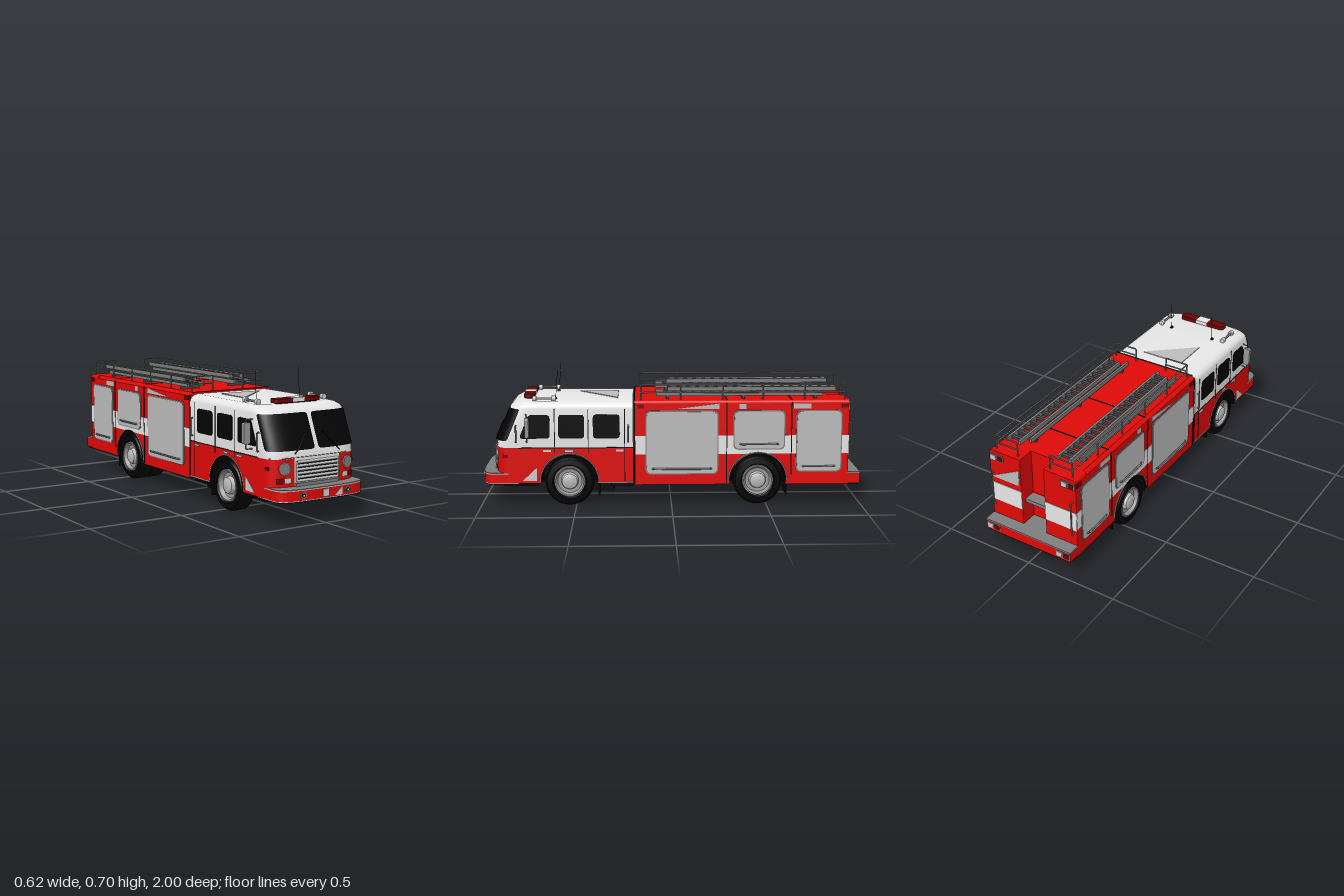
import * as THREE from 'three';
import { toCreasedNormals } from 'three/addons/utils/BufferGeometryUtils.js';

const paint = (name, color) => Object.assign(new THREE.MeshStandardMaterial({ color }), { name });
const RED = paint('red paint', 0xdf0a08), WHITE = paint('white paint', 0xe6e6e6);
const BLACK = paint('black rubber and glass', 0x040404), DOOR = paint('shutter grey', 0xbcbcbc);
const METAL = paint('metal grey', 0x7e7e7e), CHROME = paint('bright chrome', 0xcccccc);
const LAMP = paint('dark red lamp', 0x6c0304), STEEL = paint('wheel steel', 0x969696);
const IRON = paint('dark ladder grey', 0x4a4a4a);
const V = (x, y, z) => new THREE.Vector3(x, y, z);
const SIDES = [-1, 1];

// Cab skin: height, front z and half width; the plan is a squared-off curve
const CAB = [[0.12, 0.925, 0.26], [0.31, 0.925, 0.26], [0.35, 0.92, 0.26], [0.515, 0.85, 0.26],
  [0.53, 0.835, 0.255], [0.543, 0.81, 0.24], [0.55, 0.77, 0.215]];
function plan(phi, front, hw, depth = 0.12) {
  const s = Math.sin(phi), c = Math.cos(phi), r = (s ** 4 + c ** 4) ** -0.25;
  return [hw * s * r, front - depth + depth * c * r];
}
function skin(phi, y, off = 0) {
  let i = 0;
  while (i < CAB.length - 2 && y > CAB[i + 1][0]) i++;
  const [a, b] = [CAB[i], CAB[i + 1]], t = (y - a[0]) / (b[0] - a[0]);
  const [x, z] = plan(phi, a[1] + (b[1] - a[1]) * t + off, a[2] + (b[2] - a[2]) * t + off);
  return V(x, y, z);
}
const phiAt = (x) => Math.atan((x / 0.26) / (1 - (x / 0.26) ** 4) ** 0.25);

function surface(points, index) {
  const g = new THREE.BufferGeometry().setFromPoints(points);
  g.setIndex(index);
  g.computeVertexNormals();
  return g;
}
// Closed shell from stacked plan outlines
function shell(levels, back) {
  const n = 40, pts = [], idx = [];
  for (const [y, f, hw] of levels) {
    for (let i = 0; i <= n; i++) {
      const [x, z] = plan((i / n - 0.5) * Math.PI, f, hw);
      pts.push(V(x, y, z));
    }
    pts.push(V(hw, y, back), V(-hw, y, back));
  }
  const N = n + 3, last = (levels.length - 1) * N;
  for (let l = 0; l < last; l += N) for (let i = 0; i < N; i++) {
    const a = l + i, b = l + (i + 1) % N;
    idx.push(a, b, b + N, a, b + N, a + N);
  }
  pts.push(V(0, levels.at(-1)[0], 0.5));
  for (let i = 0; i < N; i++) idx.push(pts.length - 1, last + i, last + (i + 1) % N);
  return toCreasedNormals(surface(pts, idx), 0.6);
}
// Panel that follows the cab skin, with optional rounded corners
function patch(p0, p1, y0, y1, off, power = 0) {
  const n = 40, m = 8, pts = [], idx = [];
  for (let j = 0; j <= m; j++) for (let i = 0; i <= n; i++) {
    const u = Math.sin((i / n - 0.5) * Math.PI), h = power ? Math.max(0, 1 - Math.abs(u) ** power) ** (1 / power) : 1;
    pts.push(skin(p0 + (p1 - p0) * (u + 1) / 2, (y0 + y1) / 2 + (y1 - y0) * (j / m - 0.5) * h, off));
    if (i < n && j < m) {
      const a = j * (n + 1) + i;
      idx.push(a, a + 1, a + n + 2, a, a + n + 2, a + n + 1);
    }
  }
  return surface(pts, idx);
}
// Polygon with rounded corners
function poly(points, r = 0) {
  const s = new THREE.Shape(), p = points.map(([x, y]) => new THREE.Vector2(x, y));
  p.forEach((c, i) => {
    const a = p.at(i - 1), b = p[(i + 1) % p.length];
    const p1 = c.clone().add(a.clone().sub(c).setLength(r)), p2 = c.clone().add(b.clone().sub(c).setLength(r));
    i ? s.lineTo(p1.x, p1.y) : s.moveTo(p1.x, p1.y);
    if (r) s.quadraticCurveTo(c.x, c.y, p2.x, p2.y);
  });
  s.closePath();
  return s;
}
const rect = (a, b, c, d, r) => poly([[a, c], [b, c], [b, d], [a, d]], r);
const extrude = (s, depth) => new THREE.ExtrudeGeometry(s, { depth, bevelEnabled: false, curveSegments: 16 });

export function createModel() {
  const model = new THREE.Group();
  model.name = 'fireEngine';
  const add = (name, geo, mat, x = 0, y = 0, z = 0) => {
    const m = new THREE.Mesh(geo, mat);
    m.name = name;
    m.position.set(x, y, z);
    model.add(m);
    return m;
  };
  const box = (name, mat, x0, x1, y0, y1, z0, z1) => add(name, new THREE.BoxGeometry(x1 - x0, y1 - y0, z1 - z0),
    mat, (x0 + x1) / 2, (y0 + y1) / 2, (z0 + z1) / 2);
  const bar = (name, mat, pts, r = 0.004) => {
    for (let i = 1; i < pts.length; i++) add(name, new THREE.TubeGeometry(new THREE.LineCurve3(pts[i - 1], pts[i]), 1, r, 6), mat);
  };
  const disc = (name, mat, r, depth, x, y, z) => add(name, new THREE.CylinderGeometry(r, r, depth, 24).rotateX(Math.PI / 2), mat, x, y, z);
  // Thin plate on both flanks, drawn in (z, y)
  const flank = (name, shape, mat, x, t = 0.004) => SIDES.forEach((s) =>
    add(name, extrude(shape, t).rotateY(-Math.PI / 2).translate(t / 2, 0, 0), mat, s * x));

  // Lower flanks with open wheel arches; caps red, edges black
  const AXLES = [0.535, -0.455], AY = 0.128, AR = 0.147;
  const lower = (name, z0, z1, y0, y1, axle, hw) => {
    const s = new THREE.Shape(), a = Math.asin((AY - y0) / AR), w = AR * Math.cos(a);
    s.moveTo(z0, y0).lineTo(axle - w, y0);
    s.absarc(axle, AY, AR, Math.PI + a, -a, true);
    s.lineTo(z1, y0).lineTo(z1, y1).lineTo(z0, y1).closePath();
    add(name, extrude(s, 2 * hw).rotateY(-Math.PI / 2).translate(hw, 0, 0), [RED, BLACK]);
  };
  lower('cabLowerSides', 0.2, 0.72, 0.12, 0.31, AXLES[0], 0.26);
  lower('bodyLowerSides', -0.84, 0.195, 0.108, 0.3, AXLES[1], 0.255);

  // Cab
  add('cabNose', shell(CAB.slice(0, 2), 0.7), RED);
  add('cabUpper', shell(CAB.slice(1), 0.2), WHITE);
  for (const s of SIDES) {
    const a = 0.04, b = 1.14;
    add('windshield', patch(s < 0 ? -b : a, s < 0 ? -a : b, 0.347, 0.516, 0.003, 16), BLACK);
    bar('wiper', BLACK, [0.13, 0.1, 0.075, 0.05].map((x, i) => skin(phiAt(s * x), 0.332 + i * 0.03, 0.008)), 0.003);
  }
  const P = phiAt(0.133);
  add('noseCentrePanel', patch(-P, P, 0.18, 0.312, 0.003), WHITE);
  add('grilleBack', patch(-phiAt(0.12), phiAt(0.12), 0.2, 0.298, 0.006), BLACK);
  const across = (y, hw, off) => Array.from({ length: 9 }, (_, i) => skin(phiAt(hw * (i / 4 - 1)), y, off));
  for (let i = 0; i < 6; i++) bar('grilleSlat', CHROME, across(0.203 + i * 0.018, 0.119, 0.008), 0.0068);
  for (const s of SIDES) bar('grilleFrame', CHROME, [skin(phiAt(s * 0.12), 0.2, 0.008), skin(phiAt(s * 0.12), 0.296, 0.008)], 0.005);
  bar('noseTrim', METAL, across(0.313, 0.25, 0.001), 0.0025);

  // Headlights, indicators and fog lights
  for (const s of SIDES) {
    const hz = skin(phiAt(0.188), 0.26).z;
    const ring = add('headlightRing', new THREE.TorusGeometry(0.029, 0.003, 8, 28), CHROME, s * 0.188, 0.265, hz + 0.007);
    const lens = disc('headlight', METAL, 0.027, 0.02, s * 0.188, 0.265, hz);
    ring.rotation.y = lens.rotation.y = s * 0.16;
    const lamp = (n, m, x0, x1) => {
      const [a, b] = [phiAt(s * x0), phiAt(s * x1)].sort((p, q) => p - q);
      add(n, patch(a, b, 0.194, 0.221, 0.007, 12), m);
    };
    lamp('turnLamp', LAMP, 0.19, 0.224);
    lamp('whiteLamp', CHROME, 0.15, 0.186);
    disc('fogLightRing', METAL, 0.017, 0.012, s * 0.133, 0.145, 0.992);
    disc('fogLight', BLACK, 0.011, 0.014, s * 0.133, 0.145, 0.992);
    disc('fogLightBulb', CHROME, 0.005, 0.016, s * 0.133, 0.145, 0.992);
    box('sideMarker', LAMP, s * 0.25 - 0.008, s * 0.25 + 0.008, 0.257, 0.273, 0.84, 0.88);
  }

  // Front bumper
  const outline = [];
  for (let i = 0; i <= 40; i++) {
    const [x, z] = plan((i / 40 - 0.5) * Math.PI, 0.995, 0.258, 0.1);
    outline.push([x, -z]);
  }
  outline.push([0.258, -0.8], [-0.258, -0.8]);
  const slab = (n, y, h, mat) => add(n, extrude(poly(outline), h).rotateX(-Math.PI / 2), mat, 0, y);
  slab('bumperUnderside', 0.114, 0.004, BLACK);
  slab('bumperLowerTrim', 0.118, 0.003, CHROME);
  slab('bumper', 0.121, 0.047, RED);
  slab('bumperUpperTrim', 0.168, 0.003, CHROME);
  slab('bumperTread', 0.171, 0.005, METAL);
  box('bumperPlate', CHROME, -0.018, 0.018, 0.127, 0.163, 0.99, 1);
  add('bumperTriangle', extrude(poly([[0.053, 0.126], [0.098, 0.126], [0.098, 0.165]]), 0.006), CHROME, 0, 0, 0.993);
  box('bumperStep', METAL, -0.13, 0.13, 0.174, 0.192, 0.9, 0.935);

  // Cab side windows, seams and trim
  const glass = [[[0.635, 0.36], [0.795, 0.36], [0.745, 0.485], [0.635, 0.485]],
    ...[[0.455, 0.59], [0.27, 0.41]].map(([a, b]) => [[a, 0.36], [b, 0.36], [b, 0.485], [a, 0.485]])];
  for (const g of glass) flank('cabWindow', poly(g, 0.02), BLACK, 0.261);
  for (const z of [0.61, 0.435, 0.245]) flank('doorSeam', rect(z - 0.002, z + 0.002, z === 0.245 ? 0.13 : 0.28, 0.515), BLACK, 0.2595);
  flank('cabWaistline', rect(0.2, 0.8, 0.307, 0.312), BLACK, 0.2595);
  flank('cabSill', rect(0.2, 0.385, 0.12, 0.126), CHROME, 0.26);
  flank('cabTriangle', poly([[0.705, 0.135], [0.78, 0.135], [0.705, 0.205]]), CHROME, 0.26);
  for (const z of [0.65, 0.535, 0.27]) flank('doorHandle', rect(z - 0.02, z + 0.02, 0.29, 0.3), CHROME, 0.262, 0.008);
  for (const s of SIDES) for (const z of [0.81, 0.225])
    bar('cabGrabRail', METAL, [V(s * 0.258, 0.34, z), V(s * 0.272, 0.34, z), V(s * 0.272, 0.43, z), V(s * 0.258, 0.43, z)]);

  // Mirrors, roof lights, antennas
  for (const s of SIDES) {
    for (const y of [0.345, 0.488]) bar('mirrorArm', METAL, [V(s * 0.25, y, 0.76), V(s * 0.293, y, 0.75), V(s * 0.293, 0.42, 0.75)], 0.0035);
    add('mirror', extrude(rect(-0.019, 0.019, -0.052, 0.052, 0.012), 0.02), STEEL, s * 0.292, 0.421, 0.74);
    bar('spotLightStem', METAL, [V(s * 0.2, 0.562, 0.61), V(s * 0.2, 0.562, 0.72)], 0.006);
    for (const z of [0.615, 0.715]) {
      disc('spotLight', CHROME, 0.014, 0.02, s * 0.2, 0.562, z);
      box('spotLightFoot', METAL, s * 0.2 - 0.004, s * 0.2 + 0.004, 0.53, 0.56, z - 0.01, z + 0.01);
    }
    bar('antenna', BLACK, [V(s * 0.133, 0.545, 0.61), V(s * 0.133, 0.702, 0.597)], 0.0013);
    disc('antennaBase', BLACK, 0.007, 0.014, s * 0.133, 0.552, 0.61);
  }
  add('lightBar', extrude(rect(-0.137, 0.137, -0.777, -0.723, 0.02), 0.02).rotateX(-Math.PI / 2), LAMP, 0, 0.555);
  box('lightBarCentre', WHITE, -0.035, 0.035, 0.556, 0.577, 0.721, 0.779);
  box('lightBarBase', BLACK, -0.12, 0.12, 0.545, 0.556, 0.735, 0.765);
  add('roofTriangle', extrude(poly([[-0.12, -0.28], [0.12, -0.28], [-0.12, -0.49]]), 0.005).rotateX(-Math.PI / 2), DOOR, 0, 0.549);

  // Equipment body with rear recess
  const arched = (a, b, y0) => {
    const s = new THREE.Shape().moveTo(a, y0).lineTo(b, y0).lineTo(b, 0.54);
    s.quadraticCurveTo(b, 0.557, b - 0.02, 0.557);
    return s.lineTo(a + (a < 0 ? 0.02 : 0), 0.557).lineTo(a, a < 0 ? 0.54 : 0.557).closePath();
  };
  add('bodyUpper', extrude(arched(-0.255, 0.255, 0.3), 1.035), RED, 0, 0, -0.84);
  for (const s of SIDES) {
    const col = extrude(arched(0.07, 0.255, 0.108), 0.092);
    if (s < 0) col.rotateY(Math.PI).translate(0, 0, 0.092);
    add('rearColumn', col, RED, 0, 0, -0.932);
    box('rearStripe', WHITE, s * 0.1625 - 0.0925, s * 0.1625 + 0.0925, 0.262, 0.368, -0.935, -0.93);
    bar('rearGrabRail', METAL, [V(s * 0.235, 0.24, -0.93), V(s * 0.235, 0.24, -0.95), V(s * 0.235, 0.43, -0.95), V(s * 0.235, 0.43, -0.93)]);
    for (const [y, z] of [[0.52, -0.93], [0.14, -0.991]]) {
      box('rearLampFrame', METAL, s * 0.21 - 0.04, s * 0.21 + 0.04, y - 0.018, y + 0.018, z - 0.006, z);
      for (const [dx, m] of [[-0.019, LAMP], [0.019, CHROME]])
        box('rearLamp', m, s * 0.21 + dx - 0.015, s * 0.21 + dx + 0.015, y - 0.013, y + 0.013, z - 0.009, z);
    }
  }
  add('rearTriangle', extrude(poly([[0.25, 0.4], [0.08, 0.4], [0.08, 0.49]]), 0.004), DOOR, 0, 0, -0.935);
  box('recessBack', RED, -0.07, 0.07, 0.11, 0.31, -0.846, -0.83);
  box('recessLedge', METAL, -0.07, 0.07, 0.29, 0.31, -0.905, -0.84);
  box('rearStep', RED, -0.255, 0.255, 0.112, 0.165, -0.996, -0.93);
  box('rearStepTread', METAL, -0.256, 0.256, 0.165, 0.172, -0.998, -0.932);
  box('recessFloor', METAL, -0.07, 0.07, 0.112, 0.172, -0.94, -0.84);

  // Body stripe, shutters and seams
  flank('bodyStripe', rect(-0.932, 0.19, 0.272, 0.37), WHITE, 0.2555);
  const shutters = [[-0.24, 0.13, 0.17], [-0.59, -0.33, 0.3], [-0.89, -0.66, 0.18]];
  for (const [a, b, y] of shutters) {
    flank('shutterFrame', rect(a - 0.006, b + 0.006, y - 0.006, 0.504, 0.03), METAL, 0.257);
    flank('shutter', rect(a, b, y, 0.498, 0.03), DOOR, 0.259);
    for (const s of SIDES) bar('shutterHandle', METAL,
      [V(s * 0.26, y + 0.025, a + 0.03), V(s * 0.268, y + 0.025, a + 0.04), V(s * 0.268, y + 0.025, b - 0.04), V(s * 0.26, y + 0.025, b - 0.03)], 0.005);
  }
  flank('upperTriangle', poly([[-0.25, 0.512], [-0.02, 0.512], [-0.25, 0.54]]), DOOR, 0.2555);
  for (const [a, b] of [[-0.39, -0.355], [-0.73, -0.64]]) flank('upperPlate', rect(a, b, 0.512, 0.538), DOOR, 0.2555);
  for (const z of [0.192, -0.29, -0.63]) {
    flank('bodySeam', rect(z - 0.0025, z + 0.0025, z === -0.63 ? 0.16 : 0.115, 0.545), BLACK, 0.256);
    box('roofSeam', BLACK, -0.24, 0.24, 0.555, 0.559, z - 0.003, z + 0.003);
  }
  for (const z of [0.16, -0.91]) flank('sideLamp', rect(z - 0.018, z + 0.018, 0.517, 0.538), LAMP, 0.257, 0.008);

  // Roof railings and ladders
  for (const s of SIDES) {
    for (const y of [0.635, 0.595]) bar('roofRail', METAL,
      [V(s * 0.095, y, 0.16), V(s * 0.225, y, 0.16), V(s * 0.225, y, -0.91), V(s * 0.095, y, -0.91)]);
    for (const z of [0.16, -0.05, -0.27, -0.48, -0.7, -0.91]) bar('railPost', METAL, [V(s * 0.225, 0.55, z), V(s * 0.225, 0.635, z)]);
    for (const z of [0.16, -0.91]) bar('railPost', METAL, [V(s * 0.095, 0.55, z), V(s * 0.095, 0.635, z)]);
    const ladder = (x0, x1, y, z0, z1) => {
      for (const x of [x0, x1]) box('ladderRail', METAL, s * x - 0.006, s * x + 0.006, y, y + 0.022, z0, z1);
      for (let z = z0 + 0.03; z < z1; z += 0.05) box('ladderRung', IRON, s * (x0 + x1) / 2 - (x1 - x0) / 2, s * (x0 + x1) / 2 + (x1 - x0) / 2, y + 0.004, y + 0.016, z - 0.009, z + 0.009);
    };
    ladder(0.1, 0.196, 0.572, -0.8, 0.08);
    ladder(0.114, 0.182, 0.596, -0.87, 0.02);
    for (const z of [0.02, -0.38, -0.76]) box('ladderMount', IRON, s * 0.148 - 0.055, s * 0.148 + 0.055, 0.55, 0.574, z - 0.008, z + 0.008);
  }

  // Chassis, tank, mud flaps
  box('underside', BLACK, -0.16, 0.16, 0.104, 0.116, -0.99, 0.88);
  for (const [z0, z1] of [[0.7, 0.88], [-0.99, -0.62]]) box('endUnderside', BLACK, -0.25, 0.25, 0.104, 0.116, z0, z1);
  box('chassis', BLACK, -0.08, 0.08, 0.108, 0.29, -0.8, 0.85);
  box('fuelTank', BLACK, -0.22, 0.22, 0.075, 0.12, 0.3, 0.42);
  box('tankShield', BLACK, -0.23, 0.23, 0.095, 0.12, 0.2, 0.32);
  for (const s of SIDES) for (const z of [0.38, -0.608]) box('mudFlap', BLACK, s * 0.17 - 0.075, s * 0.17 + 0.075, 0.05, 0.13, z - 0.004, z + 0.004);

  // Wheels: single at the front, twin at the rear
  const lathe = (pts) => toCreasedNormals(new THREE.LatheGeometry(pts.map(([r, y]) => new THREE.Vector2(r, y)), 36), 0.7);
  const tyre = lathe([[0.03, -0.044], [0.115, -0.044], [0.128, -0.03], [0.128, 0.03], [0.118, 0.043], [0.09, 0.046], [0.08, 0.03]]);
  const rim = lathe([[0.083, 0.03], [0.081, 0.044], [0.074, 0.044], [0.064, 0.024], [0.044, 0.022]]);
  const hub = lathe([[0.046, 0.021], [0.04, 0.042], [0.03, 0.048], [0, 0.048]]);
  for (const s of SIDES) for (const z of AXLES) {
    const put = (n, g, m, x) => { add(n, g, m, s * x, AY, z).rotation.z = -s * Math.PI / 2; };
    put('tyre', tyre, BLACK, 0.212);
    put('rim', rim, STEEL, 0.212);
    put('hub', hub, DOOR, 0.212);
    put('axle', new THREE.CylinderGeometry(0.03, 0.03, 0.2, 12), BLACK, 0.1);
    if (z < 0) put('innerTyre', tyre, BLACK, 0.122);
    const x = z > 0 ? 0.259 : 0.256;
    const arch = (n, m, r, tube) => add(n, new THREE.TorusGeometry(r, tube, 6, 36, Math.PI).rotateY(Math.PI / 2), m, s * x, AY, z);
    arch('archFlare', BLACK, AR, 0.005);
    arch('archTrim', CHROME, AR + 0.006, 0.0025);
  }
  return model;
}
